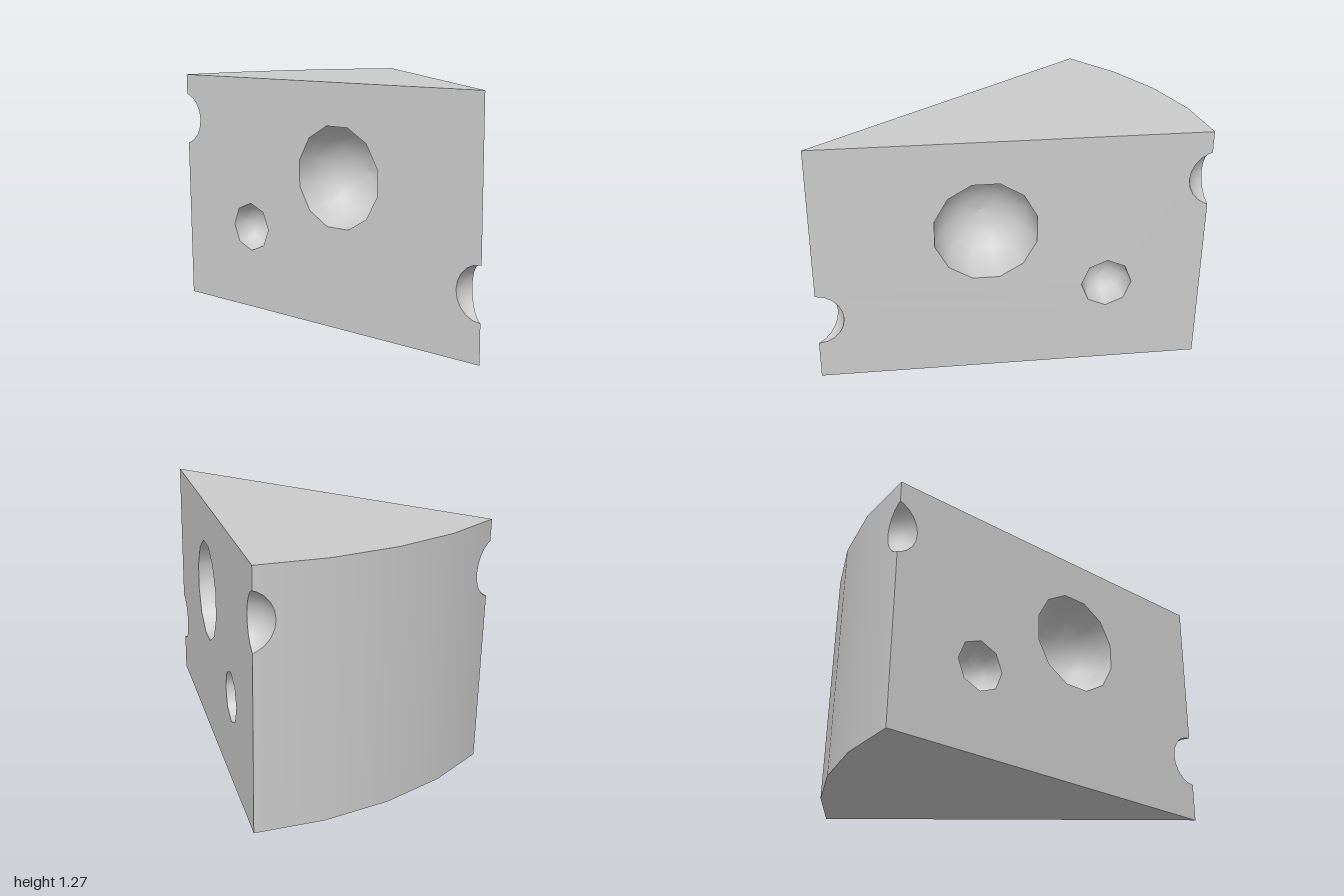
import * as THREE from 'three';

const H = 1.27;
// Outline seen from above as (x, z): tip, right corner, rounded back, left corner
const outline = [[0, 1], [0.684, -0.879], [0.347, -0.97], [0, -1], [-0.347, -0.97], [-0.684, -0.879]]
  .map(([x, z]) => new THREE.Vector2(x, z));
const N = outline.length;
const ROWS = 10, COLS = 8;

// Round bites out of vertical edges: y centre, radius, distance of the centre outside the edge
const bites = {
  0: { name: 'tipBite', y: 0.34, r: 0.138, out: 0 },
  1: { name: 'rightCornerBite', y: 1.02, r: 0.15, out: 0.054 },
  5: { name: 'leftCornerBite', y: 1.02, r: 0.15, out: 0.054 },
};
// Bowls in the side walls: distance from the tip, height, radius, sides, turn
const bowls = [
  { name: 'largeHole', s: 0.87, y: 0.79, r: 0.268, sides: 12, turn: Math.PI / 12 },
  { name: 'smallHole', s: 1.5, y: 0.454, r: 0.132, sides: 8, turn: 0 },
];

const direction = (a, b) => outline[b].clone().sub(outline[a]).normalize();

// Work out each bite's centre and its rim on the two walls that meet there
for (const key of Object.keys(bites)) {
  const i = Number(key), b = bites[key], corner = outline[i];
  const dirs = [direction(i, (i + N - 1) % N), direction(i, (i + 1) % N)];
  const bisector = dirs[0].clone().add(dirs[1]).normalize();
  b.center = corner.clone().addScaledVector(bisector, -b.out);
  const m = corner.clone().sub(b.center);
  const h = Math.sqrt(b.r * b.r - b.out * b.out);
  b.rows = [];
  for (let k = 0; k <= ROWS; k++) {
    const dy = h * Math.sin((k / ROWS - 0.5) * Math.PI);
    const rho2 = Math.max(0, b.r * b.r - dy * dy);
    const t = dirs.map((d) => {
      const p = m.dot(d);
      return Math.max(0, -p + Math.sqrt(Math.max(0, p * p - m.lengthSq() + rho2)));
    });
    b.rows.push({ y: b.y + dy, dy, rho: Math.sqrt(rho2), t, ends: dirs.map((d, j) => m.clone().addScaledVector(d, t[j])) });
  }
}

// Part of a sphere stretched between the two rims of a bite
function biteGeometry(b) {
  const pos = [], nor = [], idx = [];
  b.rows.forEach((row, k) => {
    for (let c = 0; c <= COLS; c++) {
      const v = row.ends[0].clone().lerp(row.ends[1], c / COLS).setLength(row.rho);
      pos.push(b.center.x + v.x, row.y, b.center.y + v.y);
      nor.push(-v.x / b.r, -row.dy / b.r, -v.y / b.r);
      if (k < ROWS && c < COLS) {
        const a = k * (COLS + 1) + c, up = a + COLS + 1;
        idx.push(a, a + 1, up + 1, a, up + 1, up);
      }
    }
  });
  const g = new THREE.BufferGeometry();
  g.setAttribute('position', new THREE.Float32BufferAttribute(pos, 3));
  g.setAttribute('normal', new THREE.Float32BufferAttribute(nor, 3));
  g.setIndex(idx);
  return g;
}

// Half sphere sunk behind the xy plane, seen from inside
function bowlGeometry({ r, sides, turn }) {
  const profile = [];
  for (let k = 0; k <= 6; k++) {
    const a = (k / 6) * Math.PI / 2;
    profile.push(new THREE.Vector2(k === 6 ? 0 : r * Math.cos(a), -r * Math.sin(a)));
  }
  return new THREE.LatheGeometry(profile, sides, turn).rotateX(Math.PI / 2);
}

export function createModel() {
  const group = new THREE.Group();
  group.name = 'cheeseWedge';
  const material = new THREE.MeshStandardMaterial({ color: 0xcccccc, side: THREE.DoubleSide });
  const add = (name, geometry) => {
    const mesh = new THREE.Mesh(geometry, material);
    mesh.name = name;
    group.add(mesh);
  };

  // Walls, one per outline edge, cut by bites and bowls
  for (let i = 0; i < N; i++) {
    const j = (i + 1) % N, d = direction(i, j);
    const length = outline[i].distanceTo(outline[j]);
    const isSide = i === 0 || j === 0;
    const pts = [new THREE.Vector2(0, 0), new THREE.Vector2(length, 0)];
    if (bites[j]) bites[j].rows.forEach((r) => pts.push(new THREE.Vector2(length - r.t[0], r.y)));
    pts.push(new THREE.Vector2(length, H), new THREE.Vector2(0, H));
    if (bites[i]) [...bites[i].rows].reverse().forEach((r) => pts.push(new THREE.Vector2(r.t[1], r.y)));
    const shape = new THREE.Shape(pts);

    const matrix = new THREE.Matrix4().makeBasis(
      new THREE.Vector3(d.x, 0, d.y), new THREE.Vector3(0, 1, 0), new THREE.Vector3(-d.y, 0, d.x),
    ).setPosition(outline[i].x, 0, outline[i].y);
    const side = i === 0 ? 'right' : 'left';

    if (isSide) {
      for (const b of bowls) {
        const u = i === 0 ? b.s : length - b.s;
        const rim = [];
        for (let k = 0; k < b.sides; k++) {
          const a = b.turn + (k / b.sides) * Math.PI * 2;
          rim.push(new THREE.Vector2(u + b.r * Math.sin(a), b.y - b.r * Math.cos(a)));
        }
        shape.holes.push(new THREE.Path(rim));
        add(`${side} ${b.name}`, bowlGeometry(b).translate(u, b.y, 0).applyMatrix4(matrix));
      }
    }

    const wall = new THREE.ShapeGeometry(shape).applyMatrix4(matrix);
    if (!isSide) {
      // Smooth the rind around the wheel's centre at the tip
      const p = wall.attributes.position, n = new THREE.Vector3();
      for (let k = 0; k < p.count; k++) {
        n.set(p.getX(k), 0, p.getZ(k) - 1).normalize();
        wall.attributes.normal.setXYZ(k, n.x, n.y, n.z);
      }
    }
    add(isSide ? `${side} sideWall` : `rind ${i}`, wall);
  }

  // Hollows in the edges
  for (const b of Object.values(bites)) add(b.name, biteGeometry(b));

  // Flat top and bottom
  const cap = (flip) => new THREE.ShapeGeometry(new THREE.Shape(outline.map((p) => new THREE.Vector2(p.x, p.y * flip))));
  add('top', cap(-1).rotateX(-Math.PI / 2).translate(0, H, 0));
  add('bottom', cap(1).rotateX(Math.PI / 2));

  return group;
}
